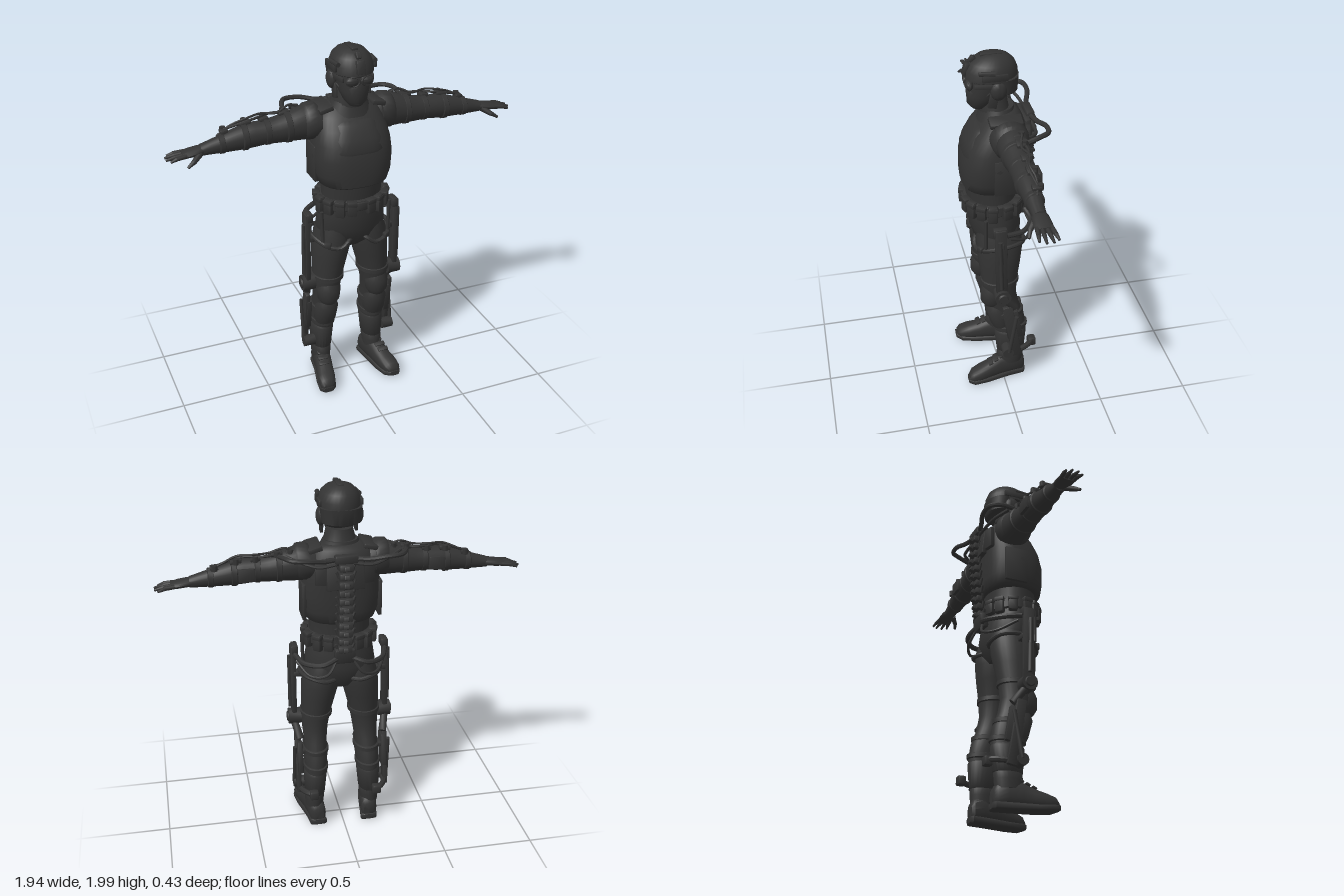
import * as THREE from 'three';
import { toCreasedNormals } from 'three/addons/utils/BufferGeometryUtils.js';
import { RoundedBoxGeometry } from 'three/addons/geometries/RoundedBoxGeometry.js';

const V = (x, y, z) => new THREE.Vector3(x, y, z);

// Closed skin through rows of [y, cx, cz, rx, rz, squareness]
function loft(rows, n = 24) {
  const pos = [], idx = [];
  for (const [y, cx, cz, rx, rz, p = 2] of rows) {
    for (let j = 0; j < n; j++) {
      const a = (j / n) * Math.PI * 2, c = Math.cos(a), s = Math.sin(a);
      pos.push(cx + rx * Math.sign(c) * Math.abs(c) ** (2 / p), y, cz + rz * Math.sign(s) * Math.abs(s) ** (2 / p));
    }
  }
  const last = rows.length - 1, b = rows.length * n;
  for (const r of [rows[0], rows[last]]) pos.push(r[1], r[0], r[2]);
  for (let j = 0; j < n; j++) {
    const k = (j + 1) % n;
    for (let i = 0; i < last; i++) {
      const a = i * n + j, d = i * n + k;
      idx.push(a, a + n, d, d, a + n, d + n);
    }
    idx.push(b, j, k, b + 1, last * n + k, last * n + j);
  }
  const g = new THREE.BufferGeometry();
  g.setAttribute('position', new THREE.Float32BufferAttribute(pos, 3));
  g.setIndex(idx);
  return g;
}
// Rows [x, cy, cz, ry, rz, p] along x, and [z, cx, cy, rx, ry, p] along z
const loftX = (rows, n) => loft(rows.map(([x, y, ...r]) => [x, -y, ...r]), n).rotateZ(-Math.PI / 2);
const loftZ = (rows, n) => loft(rows.map(([z, x, y, ...r]) => [z, x, -y, ...r]), n).rotateX(Math.PI / 2);

const box = (w, h, d, x, y, z, rx = 0, ry = 0, rz = 0) =>
  new RoundedBoxGeometry(w, h, d, 1, Math.min(w, h, d) * 0.2).rotateX(rx).rotateY(ry).rotateZ(rz).translate(x, y, z);
const tube = (pts, r, closed = false) =>
  new THREE.TubeGeometry(new THREE.CatmullRomCurve3(pts.map(p => V(...p)), closed), 32, r, 8, closed);
function rod(a, b, r0, r1 = r0, n = 10) {
  const p = V(...a), d = V(...b).sub(p);
  const q = new THREE.Quaternion().setFromUnitVectors(V(0, 1, 0), d.clone().normalize());
  return new THREE.CylinderGeometry(r1, r0, d.length(), n).applyQuaternion(q).translate(p.x + d.x / 2, p.y + d.y / 2, p.z + d.z / 2);
}
const ball = (rx, ry, rz, x, y, z) => new THREE.SphereGeometry(1, 20, 14).scale(rx, ry, rz).translate(x, y, z);

function mirror(src) {
  const g = src.index ? src.toNonIndexed() : src.clone(), p = g.attributes.position, v = V(), w = V();
  for (let i = 0; i < p.count; i += 3) {
    v.fromBufferAttribute(p, i + 1); w.fromBufferAttribute(p, i + 2);
    p.setXYZ(i + 1, w.x, w.y, w.z); p.setXYZ(i + 2, v.x, v.y, v.z);
  }
  for (let i = 0; i < p.count; i++) p.setX(i, -p.getX(i));
  return g;
}

export function createModel() {
  const model = new THREE.Group();
  model.name = 'armouredSoldier';
  const dark = new THREE.MeshStandardMaterial({ color: 0x333333 });
  dark.name = 'charcoal';
  const add = (name, g) => {
    const m = new THREE.Mesh(toCreasedNormals(g, 0.75), dark);
    m.name = name;
    model.add(m);
  };
  const pair = (name, g) => { add(name + 'Left', g); add(name + 'Right', mirror(g)); };

  // Head, mask and collar
  add('head', loft([[1.7, 0, .09, .035, .04], [1.73, 0, .085, .06, .07], [1.78, 0, .06, .08, .095], [1.85, 0, .04, .09, .11], [1.92, 0, .03, .09, .11]]));
  add('mask', loft([[1.715, 0, .11, .035, .035], [1.75, 0, .105, .055, .05], [1.8, 0, .105, .06, .055], [1.825, 0, .1, .045, .055]], 16));
  add('neck', loft([[1.6, 0, -.01, .12, .1], [1.66, 0, .005, .1, .085], [1.7, 0, .015, .085, .075], [1.76, 0, .02, .07, .07]]));
  add('collar', loft([[1.63, 0, 0, .13, .105], [1.68, 0, 0, .105, .09], [1.705, 0, 0, .092, .085], [1.7, 0, 0, .075, .07]]));

  // Helmet with rails, ear cups and front mount
  add('helmetShell', loft([[1.865, 0, .03, .105, .128], [1.87, 0, .03, .113, .136], [1.91, 0, .028, .112, .133], [1.95, 0, .025, .095, .113], [1.975, 0, .022, .07, .083], [1.988, 0, .02, .035, .045]], 28));
  add('helmetBack', loft([[1.79, 0, -.03, .085, .065], [1.8, 0, -.03, .1, .075], [1.88, 0, -.025, .112, .085]]));
  add('frontMount', box(.045, .07, .025, 0, 1.915, .158, -.25));
  add('mountArm', box(.028, .035, .03, 0, 1.965, .125, -.6));
  add('crownStrap', box(.035, .014, .11, 0, 1.985, .03));
  pair('helmetRail', box(.016, .035, .13, .108, 1.9, .03));
  pair('earCup', ball(.027, .052, .042, .098, 1.825, .01));
  pair('earCupPad', box(.025, .075, .055, .1, 1.825, .01));
  pair('cheekGuard', box(.016, .09, .045, .092, 1.775, .035, -.2));
  pair('chinStrap', rod([.088, 1.81, .05], [.025, 1.72, .12], .007));
  pair('helmetLamp', rod([.108, 1.925, .03], [.1, 1.925, .11], .012));
  // Goggles
  pair('goggleLens', ball(.036, .026, .02, .038, 1.843, .148));
  pair('goggleRim', new THREE.TorusGeometry(.033, .006, 8, 20).scale(1, .75, 1).rotateY(.25).translate(.038, 1.843, .155));
  add('goggleBridge', box(.03, .016, .02, 0, 1.848, .155));
  pair('goggleStrap', box(.01, .025, .12, .094, 1.848, .07, 0, -.22));

  // Torso and armour vest
  add('vest', loft([[1.265, 0, .032, .175, .15, 2.5], [1.275, 0, .032, .188, .163, 2.5], [1.33, 0, .03, .206, .17, 2.6], [1.42, 0, .028, .214, .17, 2.6], [1.5, 0, .018, .208, .162, 2.6], [1.57, 0, 0, .195, .145, 2.5], [1.63, 0, -.018, .175, .118, 2.4], [1.67, 0, -.025, .15, .09, 2.3], [1.69, 0, -.025, .1, .065]], 36));
  add('chestPlate', loft([[1.45, 0, .08, .15, .108, 3], [1.47, 0, .08, .155, .112, 3], [1.53, 0, .07, .145, .102, 3], [1.6, 0, .045, .12, .088, 3], [1.625, 0, .03, .11, .07, 3]], 28));
  pair('shoulderStrap', box(.075, .025, .17, .145, 1.675, -.015, 0, 0, -.25));
  pair('shoulderPad', loftX([[.17, 1.6, -.025, .085, .1], [.19, 1.6, -.025, .1, .1], [.235, 1.598, -.025, .098, .094], [.25, 1.595, -.025, .085, .08]]));
  pair('sidePanel', box(.02, .2, .13, .203, 1.38, -.01));
  add('abdomen', loft([[1.13, 0, .03, .17, .13], [1.2, 0, .035, .165, .135], [1.3, 0, .035, .17, .14]]));
  add('pelvis', loft([[.87, 0, .0, .08, .075], [.92, 0, .01, .17, .12], [1, 0, .015, .196, .14], [1.08, 0, .025, .185, .14], [1.16, 0, .03, .172, .135]], 28));

  // Belt with a ring of pouches
  add('belt', loft([[1.13, 0, .03, .185, .15], [1.135, 0, .03, .19, .155], [1.185, 0, .03, .188, .153], [1.19, 0, .03, .18, .145]], 32));
  [.28, .62, 1.0, 1.38, 1.9, 2.35, 2.7].forEach((a, i) => {
    const x = Math.sin(a) * .19, z = .03 + Math.cos(a) * .155, h = i % 2 ? .095 : .08;
    pair('pouch', box(.05, h, .036, x, 1.15, z, 0, a));
    pair('pouchFlap', box(.054, .025, .042, x, 1.18, z, 0, a));
  });
  add('buckle', box(.06, .045, .025, 0, 1.16, .182));

  // Arms and hands
  pair('arm', loftX([[.12, 1.59, -.03, .07, .07], [.17, 1.593, -.03, .09, .085], [.24, 1.593, -.03, .092, .085], [.3, 1.585, -.03, .082, .078], [.38, 1.575, -.03, .07, .07], [.45, 1.57, -.03, .062, .062], [.51, 1.568, -.03, .066, .064], [.58, 1.56, -.03, .062, .058], [.66, 1.547, -.03, .05, .047], [.74, 1.535, -.03, .037, .037], [.79, 1.528, -.03, .029, .034]]));
  [[.33, 1.582, .083], [.44, 1.572, .069], [.56, 1.562, .069], [.68, 1.545, .052]].forEach(([x, y, r]) =>
    pair('armBand', loftX([[x - .016, y, -.03, r - .006, r - .008], [x - .012, y, -.03, r, r - .003], [x + .012, y, -.03, r, r - .003], [x + .016, y, -.03, r - .006, r - .008]])));
  pair('elbowPad', box(.085, .07, .02, .5, 1.565, -.095));
  pair('palm', loftX([[.765, 1.53, -.03, .024, .03], [.8, 1.528, -.03, .023, .042], [.85, 1.522, -.03, .02, .046], [.885, 1.517, -.03, .014, .043]], 16));
  [[.952, -.079], [.968, -.052], [.968, -.018], [.95, .012]].forEach(([x, z], i) => {
    const z0 = -.063 + i * .022;
    pair('finger', rod([.865, 1.52, z0], [.92, 1.515, (z + z0) / 2], .012, .011));
    pair('fingerTip', rod([.915, 1.515, (z + z0) / 2], [x, 1.504, z], .011, .006));
  });
  pair('thumb', rod([.795, 1.52, -.005], [.84, 1.492, .03], .017, .013));
  pair('thumbTip', rod([.837, 1.495, .028], [.872, 1.473, .04], .013, .007));

  // Legs, knee pads and straps
  pair('leg', loft([[.13, .16, -.045, .045, .06], [.2, .158, -.045, .048, .072], [.27, .155, -.045, .052, .08], [.36, .15, -.045, .062, .09], [.44, .148, -.03, .067, .092], [.52, .145, -.005, .064, .088], [.6, .143, .015, .072, .092], [.7, .135, .015, .083, .1], [.8, .122, .012, .096, .115], [.88, .11, .01, .105, .125], [.96, .1, .01, .1, .125], [1.02, .095, .015, .085, .11]], 28));
  pair('kneePad', loft([[.53, .145, .05, .045, .055], [.56, .145, .055, .062, .068], [.62, .143, .055, .068, .07], [.66, .142, .05, .055, .06]]));
  pair('shinGuard', loft([[.35, .152, .0, .045, .045], [.4, .15, .01, .062, .06], [.49, .147, .03, .066, .066], [.53, .146, .03, .05, .055]]));
  pair('gaiter', loft([[.19, .158, -.045, .05, .07], [.2, .158, -.045, .058, .08], [.33, .153, -.045, .066, .092], [.345, .152, -.045, .058, .085]]));
  [[.47, .147, -.02, .074, .1], [.37, .15, -.043, .07, .1], [.69, .136, .015, .09, .107]].forEach(([y, x, z, rx, rz]) =>
    pair('legStrap', loft([[y - .015, x, z, rx - .008, rz - .008], [y - .011, x, z, rx, rz], [y + .011, x, z, rx, rz], [y + .015, x, z, rx - .008, rz - .008]])));
  pair('thighHarness', tube([[.225, .95, .02], [.17, .915, .12], [.1, .9, .14], [.045, .94, .13], [.01, .93, .04], [.03, .93, -.08], [.1, .93, -.125], [.19, .95, -.09]], .012, true));
  pair('harnessClip', box(.035, .03, .025, .17, .925, .125, 0, .5));
  pair('harnessRiser', rod([.19, .94, .1], [.195, 1.12, .1], .01));

  // Boots
  pair('boot', loftZ([[-.125, .148, .07, .03, .04, 2.6], [-.11, .15, .075, .045, .06, 2.6], [-.05, .157, .09, .05, .075, 2.4], [.02, .168, .085, .05, .07, 2.3], [.08, .18, .07, .05, .055, 2.3], [.14, .193, .06, .052, .044, 2.4], [.185, .201, .052, .045, .035, 2.4], [.205, .205, .045, .028, .02]]));
  pair('bootSole', loftZ([[-.13, .147, .025, .03, .015, 4], [-.12, .148, .023, .048, .021, 4], [-.03, .16, .023, .048, .021, 4], [.1, .184, .022, .055, .018, 4], [.18, .2, .026, .05, .019, 4], [.212, .206, .032, .028, .014, 4]]));
  pair('bootCuff', loft([[.11, .161, -.04, .05, .075], [.16, .16, -.042, .055, .078], [.205, .158, -.045, .054, .076], [.215, .158, -.045, .046, .068]]));
  [0, 1, 2].forEach(i => pair('bootLace', box(.06, .01, .025, .172 + i * .007, .157 - i * .016, .015 + i * .032, .45)));

  // Powered spine
  for (let i = 0; i < 11; i++) {
    const y = 1.13 + i * .047, z = -.145 - .03 * Math.sin(i / 10 * 1.6);
    add('vertebra', box(.075, .036, .04, 0, y, z, .15));
    add('vertebraRidge', box(.03, .026, .03, 0, y, z - .02, .4));
    pair('spineLink', rod([.035, y - .01, z + .01], [.05, y + .025, z + .012], .008));
  }
  add('backPlate', box(.2, .17, .03, 0, 1.56, -.15, .1));
  pair('backPlateWing', box(.07, .12, .025, .12, 1.56, -.138, 0, -.25));
  add('hoseHub', box(.12, .045, .045, 0, 1.645, -.165));
  add('hipUnit', box(.11, .085, .045, 0, 1.09, -.135, -.15));
  pair('hipFrame', tube([[.03, 1.08, -.14], [.12, 1.05, -.16], [.21, 1.04, -.1], [.25, 1.05, 0]], .014));
  pair('hipCable', tube([[.04, 1.07, -.14], [.1, .99, -.165], [.18, .97, -.12], [.245, 1.02, -.02]], .008));

  // Shoulder hoses and arm frame
  pair('shoulderHose', tube([[.05, 1.645, -.165], [.12, 1.645, -.185], [.2, 1.66, -.208], [.28, 1.665, -.2], [.315, 1.665, -.15], [.33, 1.65, -.085]], .013));
  pair('shoulderCable', tube([[.04, 1.62, -.165], [.14, 1.61, -.17], [.22, 1.63, -.15], [.3, 1.655, -.1]], .009));
  [[.27, 1.662, .045], [.34, 1.655, .06], [.45, 1.637, .05], [.55, 1.63, .06], [.66, 1.602, .04]].forEach(([x, y, w]) => {
    pair('armActuator', box(w, .022, .045, x, y, -.045, 0, 0, -.12));
    pair('armJoint', rod([x, y - .012, -.065], [x, y + .018, -.065], .015));
  });
  pair('armCable', tube([[.24, 1.66, -.05], [.3, 1.688, -.06], [.38, 1.66, -.04], [.46, 1.662, -.06], [.54, 1.655, -.04], [.62, 1.625, -.055], [.7, 1.585, -.04]], .006));
  pair('armRod', tube([[.26, 1.655, -.03], [.4, 1.652, -.07], [.52, 1.645, -.035], [.66, 1.61, -.05]], .007));

  // Leg frame: thigh bar, knee hub, shin bar and heel stub
  pair('thighBar', box(.028, .43, .062, .258, .88, .03, .02));
  pair('thighBarTop', box(.034, .05, .075, .248, 1.075, .035));
  pair('thighPiston', rod([.276, .72, .03], [.276, 1.03, .04], .012));
  pair('thighInset', box(.014, .13, .03, .275, .95, .035));
  pair('thighBracket', box(.07, .03, .05, .225, .93, .02));
  pair('kneeHub', rod([.22, .66, .025], [.29, .66, .025], .045, .045, 12));
  pair('kneeCap', rod([.288, .66, .025], [.298, .66, .025], .03, .024, 12));
  pair('kneeLink', rod([.262, .64, .02], [.235, .55, -.05], .02, .022));
  pair('shinBar', box(.026, .36, .055, .25, .39, -.035, .16));
  pair('shinCover', box(.03, .19, .085, .24, .43, -.04, .16));
  pair('shinPiston', rod([.27, .25, -.015], [.268, .5, -.055], .011));
  pair('shinBracket', box(.06, .026, .05, .22, .47, -.045));
  pair('ankleHub', rod([.21, .245, -.01], [.275, .245, -.01], .032, .032, 12));
  pair('heelArm', tube([[.245, .235, -.02], [.235, .24, -.1], [.2, .245, -.155], [.165, .24, -.165]], .016));
  pair('heelStub', box(.05, .05, .045, .18, .24, -.165));
  return model;
}
